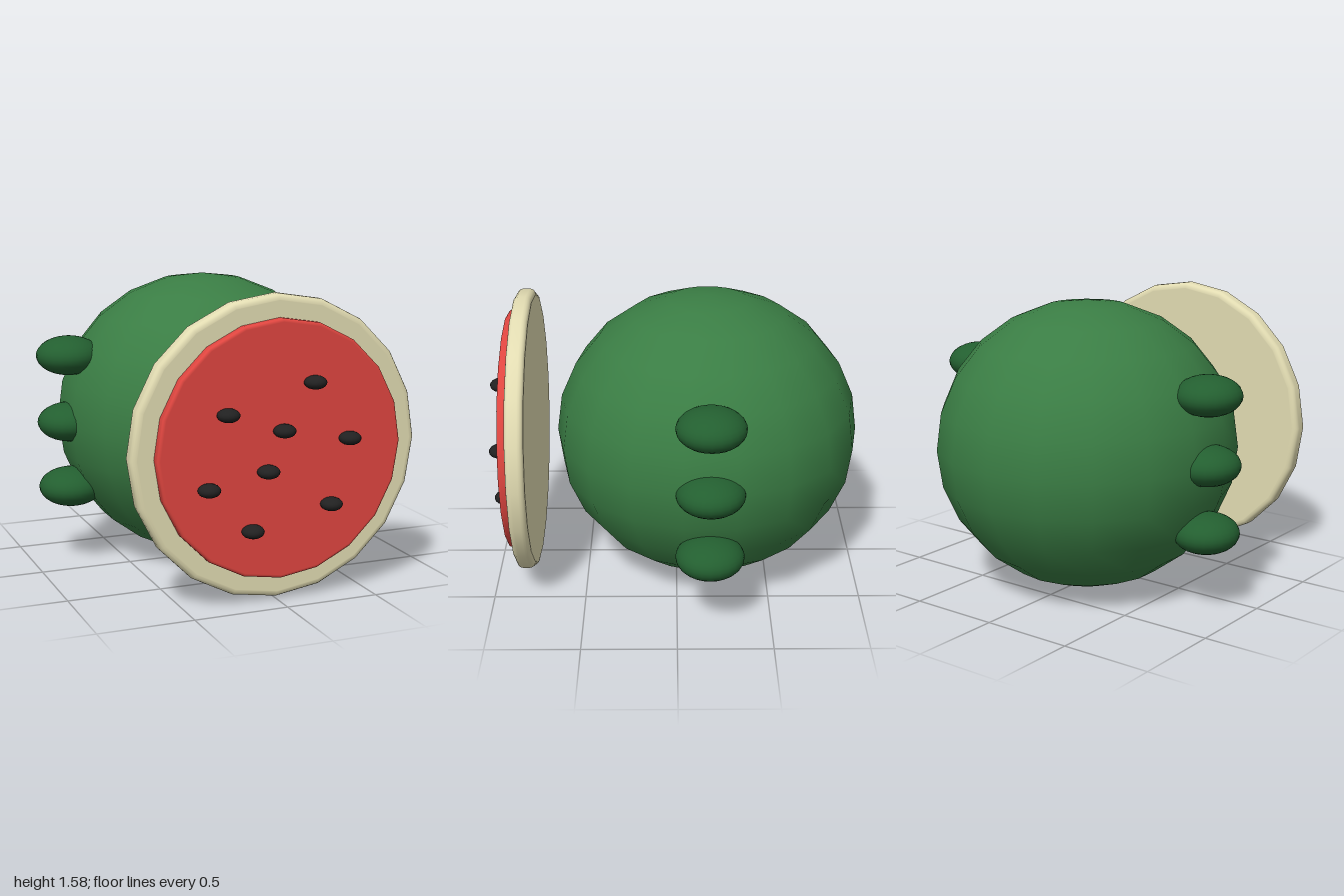
import * as THREE from 'three';

const material = (name, color) => {
  const m = new THREE.MeshStandardMaterial({ color });
  m.name = name;
  return m;
};

export function createModel() {
  const model = new THREE.Group();
  model.name = 'melon';
  const skin = material('green skin', 0x3a7d44);
  const darkSkin = material('dark green', 0x235f30);
  const cream = material('cream rind', 0xe2dcb2);
  const red = material('red flesh', 0xe04640);
  const black = material('black seed', 0x212121);

  const midY = 0.79, midZ = -0.17;

  const add = (name, geometry, mat, x, y, z) => {
    const mesh = new THREE.Mesh(geometry, mat);
    mesh.name = name;
    mesh.position.set(x, y, z);
    model.add(mesh);
    return mesh;
  };

  // Ellipsoid with poles up and down
  const ellipsoid = (rx, ry, rz, w, h) =>
    new THREE.SphereGeometry(1, w, h).rotateY(Math.PI / 2).scale(rx, ry, rz);

  // 20-sided disc facing +z with rounded rims and flat faces
  const disc = (radius, depth, bevel) => {
    const points = [new THREE.Vector2(0, 0), new THREE.Vector2(radius - bevel - 0.003, 0)];
    for (const [y, start] of [[bevel, -90], [depth - bevel, 0]]) {
      for (let i = 0; i <= 4; i++) {
        const a = THREE.MathUtils.degToRad(start + i * 22.5);
        points.push(new THREE.Vector2(radius - bevel + bevel * Math.cos(a), y + bevel * Math.sin(a)));
      }
    }
    points.push(new THREE.Vector2(radius - bevel - 0.003, depth), new THREE.Vector2(0, depth));
    return new THREE.LatheGeometry(points, 20).rotateX(Math.PI / 2);
  };

  // Round body
  add('body', ellipsoid(0.82, 0.788, 0.83, 18, 12), skin, 0, midY, midZ);

  // Three bumps on each side
  const bump = ellipsoid(0.176, 0.106, 0.18, 24, 16);
  for (const [side, label] of [[1, 'left'], [-1, 'right']]) {
    for (const dy of [0.367, 0, -0.365]) add(label + 'Bump', bump, darkSkin, side * 0.78, midY + dy, midZ);
  }

  // Cut slice in front of the body
  add('rind', disc(0.777, 0.097, 0.03), cream, 0, midY, 0.775);
  add('flesh', disc(0.661, 0.06, 0.015), red, 0, midY, 0.862);

  // Seeds set into the flesh
  const seed = ellipsoid(0.058, 0.035, 0.058, 16, 12);
  const seeds = [
    [0.165, 1.128], [-0.3, 0.995], [0, 0.895], [0.363, 0.83],
    [-0.085, 0.695], [-0.4, 0.63], [0.265, 0.497], [-0.167, 0.398],
  ];
  for (const [x, y] of seeds) add('seed', seed, black, x, y, 0.942);

  return model;
}
